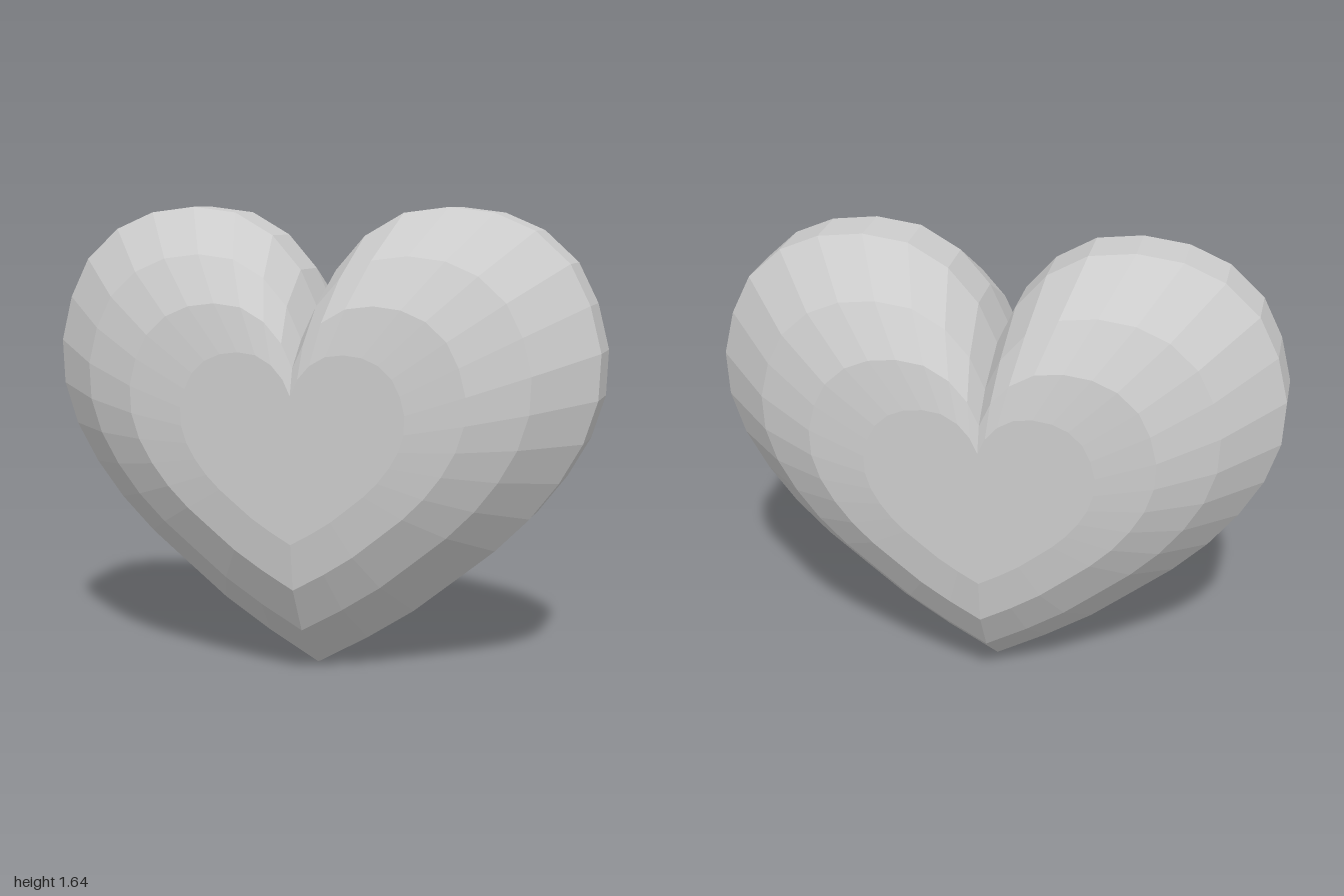
import * as THREE from 'three';

// right half of the outline, from the cleft round the lobe to the bottom tip
const half = [
  [0, 1.28], [0.065, 1.42], [0.17, 1.54], [0.31, 1.62], [0.47, 1.64], [0.63, 1.62],
  [0.77, 1.56], [0.89, 1.45], [0.96, 1.31], [1, 1.15], [0.993, 0.99], [0.945, 0.84],
  [0.865, 0.7], [0.765, 0.57], [0.645, 0.45], [0.51, 0.34], [0.355, 0.215], [0.185, 0.105], [0, 0],
];
const centerY = 0.825;

// [scale about the centre, z] from the front middle to the rim, then mirrored
const frontRings = [[0, 0.408], [0.4, 0.408], [0.6, 0.382], [0.8, 0.285], [1, 0.092]];

export function createModel() {
  const outline = [...half, ...half.slice(1, -1).reverse().map(([x, y]) => [-x, y])];
  const rings = [...frontRings, ...frontRings.slice().reverse().map(([s, z]) => [s, -z])];
  const n = outline.length;
  const positions = [];
  const index = [];

  // scaled copies of the outline
  for (const [s, z] of rings) {
    for (const [x, y] of outline) positions.push(x * s, centerY + (y - centerY) * s, z);
  }

  // join neighbouring rings; the first and last close to a point
  for (let r = 0; r < rings.length - 1; r++) {
    for (let i = 0; i < n; i++) {
      const j = (i + 1) % n;
      const a = r * n + i, b = r * n + j, c = a + n, d = b + n;
      if (rings[r + 1][0] > 0) index.push(a, d, c);
      if (rings[r][0] > 0) index.push(a, b, d);
    }
  }

  let geometry = new THREE.BufferGeometry();
  geometry.setAttribute('position', new THREE.Float32BufferAttribute(positions, 3));
  geometry.setIndex(index);
  geometry = geometry.toNonIndexed();
  geometry.computeVertexNormals();

  const heart = new THREE.Mesh(
    geometry,
    new THREE.MeshStandardMaterial({ color: 0xcccccc, flatShading: true }),
  );
  heart.name = 'heart';

  const group = new THREE.Group();
  group.name = 'heartModel';
  group.add(heart);
  return group;
}
